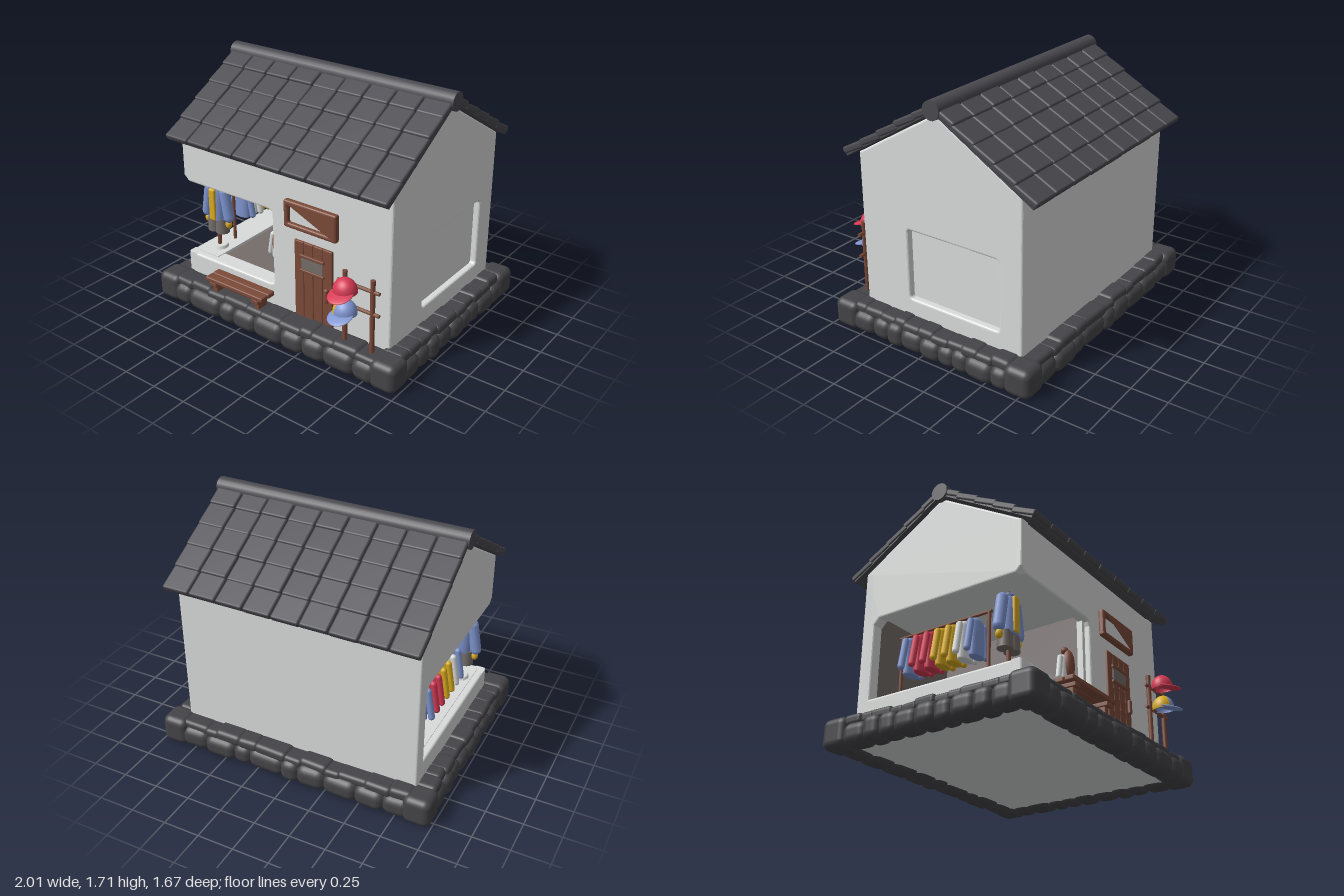
import * as THREE from 'three';
import { RoundedBoxGeometry } from 'three/addons/geometries/RoundedBoxGeometry.js';

const mat = (name, color) => Object.assign(new THREE.MeshStandardMaterial({ color }), { name });
const M = {
  plaster: mat('plaster', 0xd9dcda), roof: mat('slate', 0x4a494f), stone: mat('stone', 0x454448),
  wood: mat('wood', 0x7b4a39), shade: mat('interior grey', 0x756d6a),
  red: mat('red cloth', 0xd63a54), blue: mat('blue cloth', 0x7f95d0), yellow: mat('yellow cloth', 0xdaac20),
};
let seed = 7;
const rnd = (a, b) => { seed = (seed * 16807) % 2147483647; return a + (b - a) * seed / 2147483647; };

function add(parent, name, geo, m, x = 0, y = 0, z = 0) {
  const mesh = new THREE.Mesh(geo, m);
  mesh.name = name;
  mesh.position.set(x, y, z);
  parent.add(mesh);
  return mesh;
}
function group(parent, name, x = 0, y = 0, z = 0) {
  const g = new THREE.Group();
  g.name = name;
  g.position.set(x, y, z);
  parent.add(g);
  return g;
}
// box given by its min and max corners, optionally rounded
function span(parent, name, m, x0, x1, y0, y1, z0, z1, r = 0) {
  const s = [x1 - x0, y1 - y0, z1 - z0];
  const geo = r ? new RoundedBoxGeometry(...s, 3, r) : new THREE.BoxGeometry(...s);
  return add(parent, name, geo, m, (x0 + x1) / 2, (y0 + y1) / 2, (z0 + z1) / 2);
}
const rod = (r, len) => new THREE.CylinderGeometry(r, r, len, 12);
const poly = pts => new THREE.Shape(pts.map(p => new THREE.Vector2(...p)));
const extrude = (shape, depth) => new THREE.ExtrudeGeometry(shape, {
  depth: depth - 0.03, bevelSize: 0.015, bevelThickness: 0.015, bevelOffset: -0.015, bevelSegments: 3, curveSegments: 8,
}).translate(0, 0, 0.015);

// rectangle with rounded corners as a path
function roundRect(path, x0, x1, y0, y1, r) {
  path.moveTo(x0 + r, y0).lineTo(x1 - r, y0).quadraticCurveTo(x1, y0, x1, y0 + r)
    .lineTo(x1, y1 - r).quadraticCurveTo(x1, y1, x1 - r, y1)
    .lineTo(x0 + r, y1).quadraticCurveTo(x0, y1, x0, y1 - r)
    .lineTo(x0, y0 + r).quadraticCurveTo(x0, y0, x0 + r, y0);
  return path;
}

function buildBase(root) {
  const g = group(root, 'stoneBase');
  span(g, 'baseFill', M.stone, -0.9, 0.9, 0.05, 0.165, -0.75, 0.66);
  span(g, 'underside', M.plaster, -0.88, 0.88, 0.03, 0.05, -0.73, 0.64);
  // rows of irregular stones: large ones below, flat caps on top
  const row = (name, alongX, a, b, fixed, out) => {
    for (const [n, y0, y1, dep, inset] of [[9, 0, 0.15, 0.17, 0], [11, 0.125, 0.19, 0.15, 0.02]]) {
      const cuts = [...Array(n + 1).keys()].map(i => a + (b - a) * (i + (i % n ? rnd(-0.25, 0.25) : 0)) / n);
      for (let i = 0; i < n; i++) {
        const w = cuts[i + 1] - cuts[i] + 0.025, h = y1 - y0 + rnd(-0.005, 0.015), d = dep + rnd(-0.01, 0.025);
        const geo = new RoundedBoxGeometry(alongX ? w : d, h, alongX ? d : w, 3, Math.min(h, d, w) * 0.4);
        const mid = (cuts[i] + cuts[i + 1]) / 2, f = fixed - out * inset;
        add(g, name, geo, M.stone, alongX ? mid : f, y0 + h / 2, alongX ? f : mid).rotation.y = rnd(-0.05, 0.05);
      }
    }
  };
  row('frontStone', true, -0.84, 0.84, 0.645, 1);
  row('backStone', true, -0.84, 0.84, -0.74, -1);
  for (const s of [-1, 1]) {
    row('sideStone', false, -0.66, 0.57, s * 0.905, s);
    for (const z of [0.635, -0.735])
      add(g, 'cornerStone', new RoundedBoxGeometry(0.19, 0.2, 0.19, 4, 0.05), M.stone, s * 0.9, 0.1, z);
  }
}

function buildWalls(root) {
  const g = group(root, 'walls'), T = 0.08;
  // gable outlines are drawn with u = -z
  const right = poly([[-0.55, 0.1], [0.69, 0.1], [0.69, 1.24], [0.07, 1.61], [-0.55, 1.24]]);
  right.holes.push(roundRect(new THREE.Path(), -0.18, 0.52, 0.31, 0.8, 0.025));
  const left = poly([[-0.55, 0.1], [0.69, 0.1], [0.69, 1.24], [0.07, 1.61], [-0.55, 1.24],
    [-0.55, 0.92], [-0.51, 0.88], [0.55, 0.88], [0.59, 0.84], [0.59, 0.33], [-0.55, 0.33]]);
  add(g, 'leftGable', extrude(right, T).rotateY(Math.PI / 2), M.plaster, 0.77);
  add(g, 'rightGable', extrude(left, T).rotateY(Math.PI / 2), M.plaster, -0.85);
  span(g, 'sidePanel', M.plaster, 0.77, 0.805, 0.28, 0.83, -0.55, 0.2);
  // front wall with the display opening running out at the corner
  const front = poly([[-0.85, 0.1], [0.85, 0.1], [0.85, 1.24], [-0.85, 1.24], [-0.85, 0.92], [-0.81, 0.88],
    [-0.11, 0.88], [-0.08, 0.87], [-0.07, 0.84], [-0.07, 0.37], [-0.08, 0.34], [-0.11, 0.33], [-0.85, 0.33]]);
  add(g, 'frontWall', extrude(front, T), M.plaster, 0, 0, 0.47);
  span(g, 'backWall', M.plaster, -0.85, 0.85, 0.1, 1.24, -0.69, -0.61, 0.015);
  // display room
  const room = group(root, 'displayRoom');
  span(room, 'roomFloor', M.shade, -0.65, -0.06, 0.26, 0.315, -0.61, 0.47);
  span(room, 'sideSill', M.plaster, -0.8, -0.62, 0.2, 0.335, -0.61, 0.5);
  span(room, 'frontSill', M.plaster, -0.8, -0.07, 0.2, 0.33, 0.43, 0.52);
  span(room, 'roomBack', M.shade, -0.78, -0.06, 0.3, 0.95, -0.61, -0.6);
  span(room, 'roomPartition', M.shade, -0.08, -0.05, 0.2, 0.95, -0.61, 0.48);
  span(room, 'roomCeiling', M.plaster, -0.79, -0.05, 0.93, 0.96, -0.61, 0.48);
  span(room, 'windowJamb', M.plaster, -0.1, -0.06, 0.33, 0.88, 0.47, 0.51);
}

function buildRoof(root) {
  const g = group(root, 'roof'), tilt = 0.543, rows = 5, cols = 9, step = 0.168, w = 1.76 / cols;
  for (const s of [-1, 1]) {
    const at = (mesh, d, lift) => mesh.position.set(mesh.position.x,
      1.66 - d * Math.sin(tilt) + lift, -0.07 + s * d * Math.cos(tilt));
    const board = add(g, 'roofBoard', new THREE.BoxGeometry(1.74, 0.025, 0.82), M.roof);
    at(board, 0.42, -0.02);
    board.rotation.x = s * tilt;
    for (let r = 0; r < rows; r++) for (let c = 0; c < cols; c++) {
      const tile = add(g, 'roofTile', new RoundedBoxGeometry(w - 0.005, 0.045, 0.19, 2, 0.014), M.roof, -0.88 + (c + 0.5) * w);
      at(tile, (r + 0.5) * step, rnd(-0.003, 0.004));
      tile.rotation.x = s * (tilt - 0.07) + rnd(-0.012, 0.012);
    }
  }
  add(g, 'ridge', new THREE.CylinderGeometry(0.062, 0.062, 1.77, 20).rotateZ(Math.PI / 2), M.roof, 0, 1.643, -0.07);
}

function buildFront(root) {
  // plank door with a framed window and a handle
  const door = group(root, 'door');
  for (let i = 0; i < 4; i++) span(door, 'plank', M.wood, 0.12 + i * 0.075, 0.192 + i * 0.075, 0.18, 0.74, 0.53, 0.566, 0.006);
  span(door, 'doorBacking', M.wood, 0.12, 0.415, 0.18, 0.74, 0.53, 0.56);
  span(door, 'doorWindow', M.shade, 0.18, 0.35, 0.55, 0.635, 0.566, 0.572);
  span(door, 'doorWindowTop', M.wood, 0.17, 0.36, 0.635, 0.655, 0.56, 0.58, 0.005);
  span(door, 'doorWindowSill', M.wood, 0.17, 0.36, 0.53, 0.55, 0.56, 0.58, 0.005);
  span(door, 'doorHandle', M.wood, 0.365, 0.395, 0.37, 0.47, 0.56, 0.59, 0.012);
  // blank sign board
  const frame = roundRect(new THREE.Shape(), 0.05, 0.46, 0.82, 1.01, 0.015);
  frame.holes.push(roundRect(new THREE.Path(), 0.085, 0.425, 0.855, 0.975, 0.01));
  const sign = group(root, 'sign');
  add(sign, 'signFrame', extrude(frame, 0.045), M.wood, 0, 0, 0.542);
  span(sign, 'signPanel', M.plaster, 0.07, 0.44, 0.84, 0.99, 0.545, 0.558);
  // bench
  const bench = group(root, 'bench');
  for (const z of [0.57, 0.64]) span(bench, 'benchPlank', M.wood, -0.55, -0.05, 0.265, 0.3, z, z + 0.066, 0.01);
  for (const x of [-0.49, -0.12]) {
    span(bench, 'benchLeg', M.wood, x - 0.022, x + 0.022, 0.17, 0.27, 0.59, 0.68, 0.008);
    span(bench, 'benchBrace', M.wood, x - 0.03, x + 0.03, 0.235, 0.265, 0.57, 0.7, 0.006);
  }
  // hat rack
  const rack = group(root, 'hatRack');
  for (const x of [0.565, 0.77]) add(rack, 'rackPost', rod(0.016, 0.52), M.wood, x, 0.44, 0.63);
  for (const y of [0.62, 0.465]) add(rack, 'rackRail', rod(0.012, 0.31).rotateZ(Math.PI / 2), M.wood, 0.665, y, 0.63);
  cap(rack, 'redCap', M.red, M.red, 0.62, 0.615, 0.1);
  cap(rack, 'blueCap', M.blue, M.yellow, 0.62, 0.465, 0.1);
}

function cap(parent, name, main, panel, x, y, roll) {
  const g = group(parent, name, x, y, 0.705);
  g.rotation.z = roll;
  const dome = (from, len) => new THREE.SphereGeometry(0.08, 16, 10, from, len, 0, Math.PI * 0.55).scale(1, 1.05, 0.9);
  const inside = m => Object.assign(m, { side: THREE.DoubleSide });
  add(g, 'capPanel', dome(-1.1, 2.2), inside(panel));
  add(g, 'capCrown', dome(1.1, Math.PI * 2 - 2.2), inside(main));
  add(g, 'capBrim', new THREE.SphereGeometry(1, 18, 10).scale(0.085, 0.013, 0.085), main, 0, -0.008, 0.05).rotation.x = 0.3;
}

// jacket or shirt with two hanging sleeves, its top at the group's origin
function garment(parent, name, m, x, y, z, w, h, d) {
  const g = group(parent, name, x, y, z);
  const profile = [[0.001, 0], [0.5, -0.06], [0.78, -0.16], [0.85, -0.5], [0.92, -0.97], [0.8, -1], [0.001, -0.98]].reverse();
  const body = new THREE.LatheGeometry(profile.map(p => new THREE.Vector2(p[0] * w * 0.36, p[1] * h)), 18);
  add(g, 'body', body.scale(1, 1, d / (w * 0.66)), m);
  for (const s of [-1, 1]) {
    const sleeve = add(g, 'sleeve', new THREE.CapsuleGeometry(d * 0.32, h * 0.7, 4, 10), m, s * w * 0.4, -h * 0.53, 0);
    sleeve.rotation.z = s * 0.17;
  }
  return g;
}

function buildDisplay(root) {
  // dressed stand at the corner
  const doll = group(root, 'dressedStand', -0.72, 0, 0.37);
  add(doll, 'standFoot', new THREE.CylinderGeometry(0.055, 0.065, 0.025, 20), M.plaster, 0, 0.342, 0);
  add(doll, 'standPole', rod(0.015, 0.5), M.wood, 0, 0.595, 0);
  const coat = garment(doll, 'coat', M.blue, 0, 0.825, 0, 0.21, 0.27, 0.12);
  add(coat, 'shirtFront', new RoundedBoxGeometry(0.055, 0.24, 0.03, 3, 0.012), M.yellow, 0, -0.145, 0.05);
  add(coat, 'collar', new THREE.TorusGeometry(0.032, 0.013, 8, 16).rotateX(Math.PI / 2), M.blue, 0, -0.01, 0);
  for (const s of [-1, 1]) {
    add(doll, 'cuff', new THREE.SphereGeometry(0.027, 12, 8).scale(0.9, 1.2, 0.9), M.yellow, s * 0.095, 0.535, 0);
    add(doll, 'shortsLeg', new THREE.CylinderGeometry(0.045, 0.05, 0.11, 14), M.shade, s * 0.036, 0.515, 0);
  }
  // rail of hanging clothes along the open side
  const rail = group(root, 'clothesRail', -0.71);
  add(rail, 'railBar', rod(0.01, 0.72).rotateX(Math.PI / 2), M.wood, 0, 0.765, -0.12);
  for (const z of [-0.46, 0.22]) add(rail, 'railPost', rod(0.012, 0.45), M.wood, 0, 0.545, z);
  [M.blue, M.red, M.red, M.yellow, M.yellow, M.plaster, M.blue].forEach((m, i) =>
    garment(rail, 'hangingShirt', m, 0, 0.75, -0.38 + i * 0.085, 0.2, 0.27, 0.07));
  // small bust with a white smock beside the window jamb
  const bust = group(root, 'bust', -0.14, 0, 0.4);
  add(bust, 'bustPole', rod(0.014, 0.2), M.wood, 0, 0.4, 0);
  add(bust, 'bustBody', new THREE.SphereGeometry(1, 16, 12).scale(0.045, 0.11, 0.04), M.wood, 0.01, 0.57, 0.02);
  add(bust, 'bustKnob', new THREE.SphereGeometry(0.025, 12, 8), M.wood, 0, 0.675, 0);
  garment(bust, 'smock', M.plaster, -0.015, 0.645, 0, 0.13, 0.2, 0.06);
}

export function createModel() {
  const root = new THREE.Group();
  root.name = 'clothesShop';
  buildBase(root);
  buildWalls(root);
  buildRoof(root);
  buildFront(root);
  buildDisplay(root);
  return root;
}
